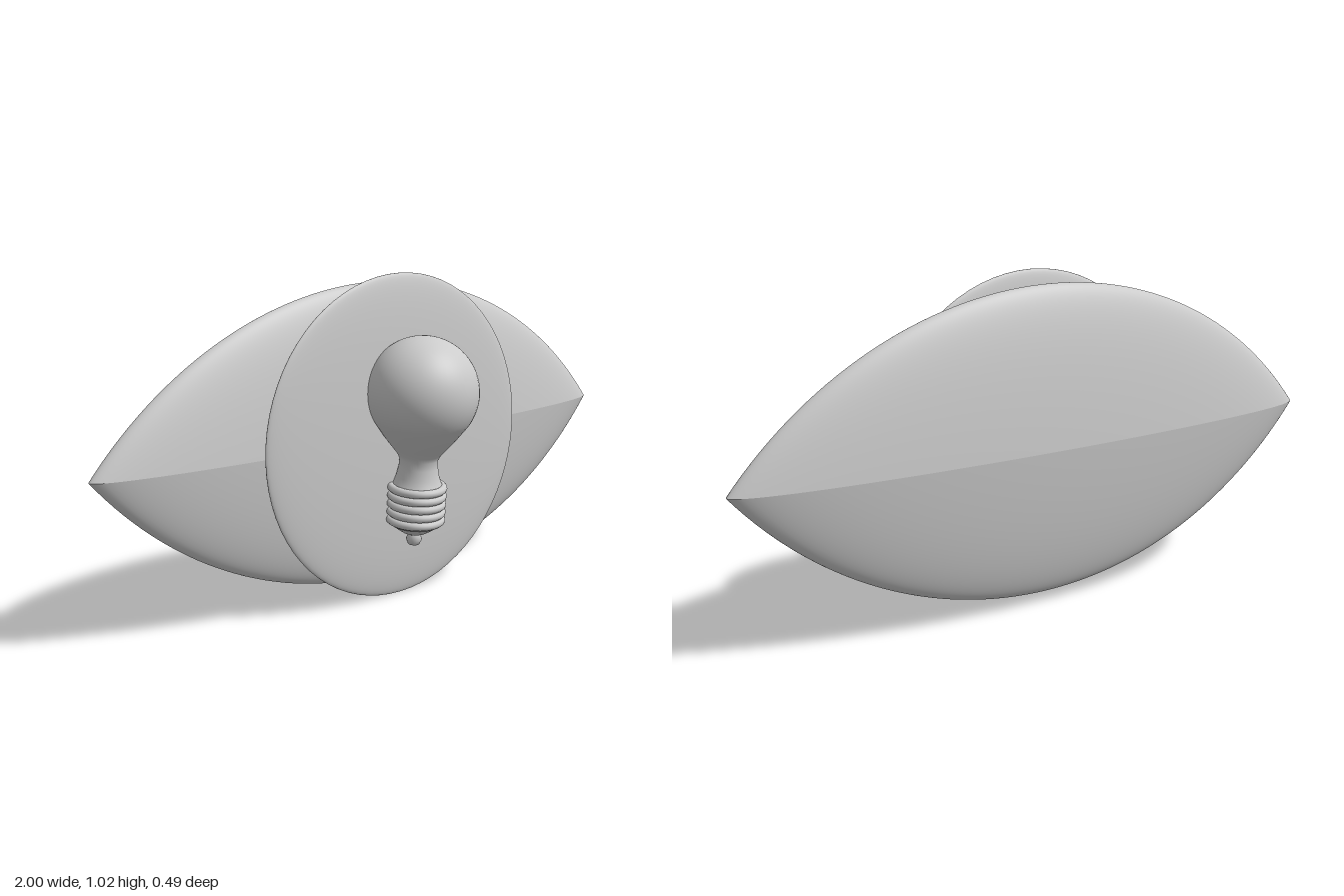
import * as THREE from 'three';

const material = new THREE.MeshStandardMaterial({ color: 0xcccccc });

function addMesh(parent, name, geometry) {
  const mesh = new THREE.Mesh(geometry, material);
  mesh.name = name;
  parent.add(mesh);
  return mesh;
}

// Lathe around y; points are [radius, height]
function lathe(points, segments = 48) {
  return new THREE.LatheGeometry(points.map(([r, h]) => new THREE.Vector2(r, h)), segments);
}

// Almond body: two flattened sphere caps meeting in a crease
function createEyeball() {
  const eye = new THREE.Group();
  eye.name = 'eyeball';
  const height = 0.477;
  const radius = (1 + height * height) / (2 * height);
  const offset = radius - height;
  for (const side of [1, -1]) {
    const cap = new THREE.SphereGeometry(radius, 96, 32, 0, Math.PI * 2, 0, Math.acos(offset / radius));
    cap.translate(0, -offset, 0);
    cap.scale(1, 1, 0.104);
    if (side < 0) cap.rotateX(Math.PI);
    addMesh(eye, side > 0 ? 'upperHalf' : 'lowerHalf', cap);
  }
  eye.position.set(0, 0.513, -0.138);
  return eye;
}

// Light bulb, built upright from the tip of its contact
function createBulb() {
  const bulb = new THREE.Group();
  bulb.name = 'lightBulb';

  // Glass: flared neck, taper, then a round head
  const glass = [
    [0.083, 0.19], [0.075, 0.203], [0.067, 0.225], [0.061, 0.255], [0.06, 0.28],
    [0.068, 0.296], [0.085, 0.317], [0.108, 0.345], [0.132, 0.378],
  ];
  const headRadius = 0.173, headHeight = 0.49;
  for (let i = 0; i <= 24; i++) {
    const a = THREE.MathUtils.lerp(-0.55, Math.PI / 2, i / 24);
    glass.push([Math.max(0, headRadius * Math.cos(a)), headHeight + headRadius * Math.sin(a)]);
  }
  addMesh(bulb, 'glass', lathe(glass));

  // Screw base with its rings
  addMesh(bulb, 'screwCore', lathe([[0.082, 0.07], [0.082, 0.195], [0, 0.195]]));
  for (let i = 0; i < 5; i++) {
    const ring = new THREE.TorusGeometry(0.081, 0.013, 12, 48);
    ring.rotateX(Math.PI / 2);
    addMesh(bulb, 'screwRing', ring).position.y = 0.085 + i * 0.026;
  }

  // Tapered insulator and contact
  addMesh(bulb, 'insulator', lathe([
    [0, 0.033], [0.022, 0.034], [0.04, 0.042], [0.06, 0.055], [0.076, 0.067], [0.084, 0.078],
  ]));
  const contact = lathe([[0, 0], [0.018, 0], [0.025, 0.016], [0.021, 0.03], [0.018, 0.038]], 20);
  addMesh(bulb, 'contact', contact);

  bulb.position.set(0, 0.179, 0.03);
  bulb.rotation.x = 0.085;
  return bulb;
}

export function createModel() {
  const model = new THREE.Group();
  model.name = 'eyeWithBulb';
  model.add(createEyeball());

  // Iris: a thin flattened ellipsoid
  const iris = new THREE.SphereGeometry(1, 72, 48);
  iris.rotateX(Math.PI / 2);
  iris.scale(0.508, 0.51, 0.036);
  addMesh(model, 'iris', iris).position.set(0, 0.512, -0.035);

  model.add(createBulb());
  return model;
}
